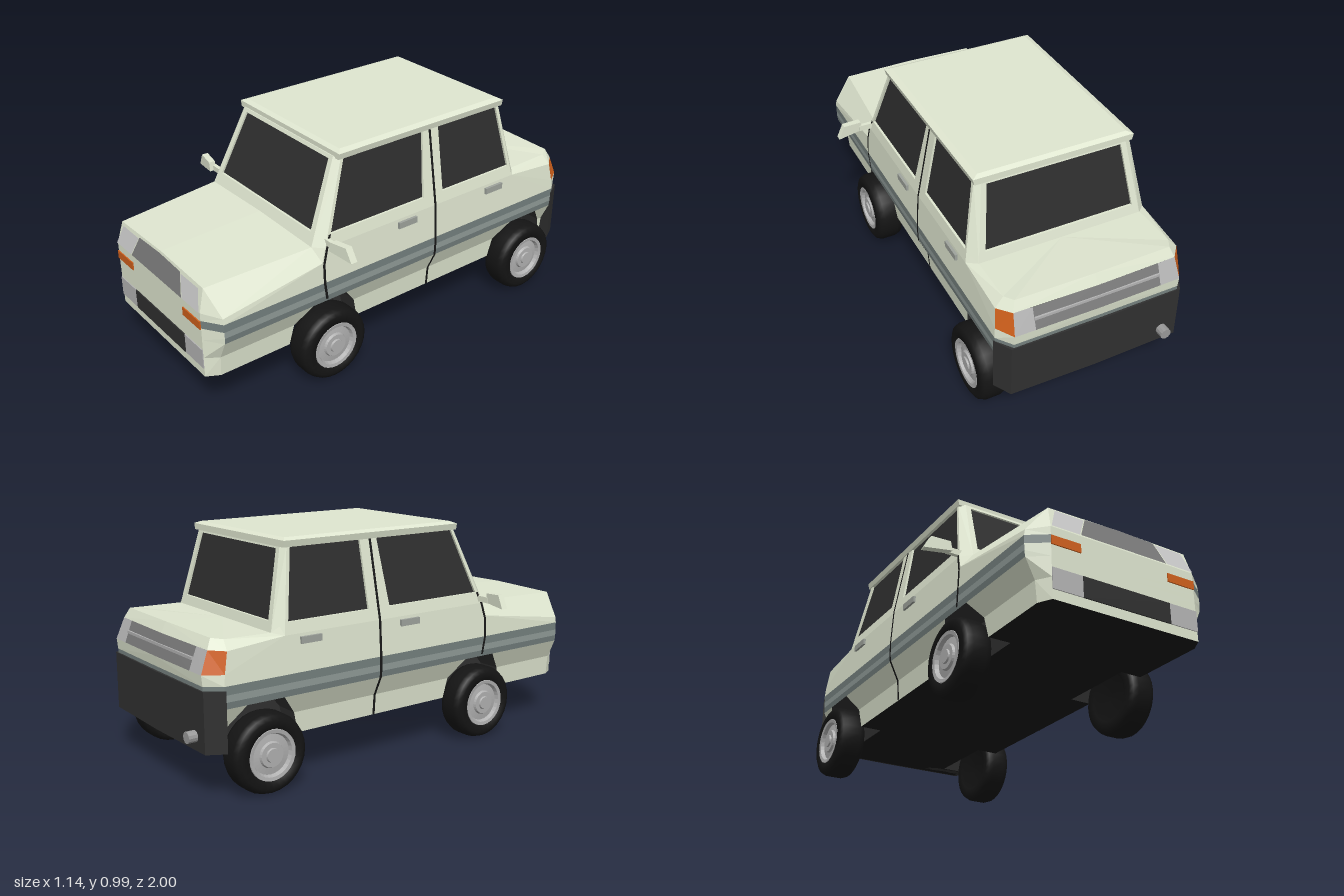
import * as THREE from 'three';

const PAINT = 0xdfe6d0, STRIPE = 0x74807e, STRIPE_MID = 0x8f9a97, DARK = 0x303030, BLACK = 0x181818,
  GLASS = 0x2e2e2e, GREY = 0xb4b4b4, MIDGREY = 0x7a7a7a, ORANGE = 0xd0601c;

export function createModel() {
  const car = new THREE.Group();
  car.name = 'car';

  const add = (name, geometry, color, flat = true) => {
    const material = new THREE.MeshStandardMaterial({ color, flatShading: flat, side: THREE.DoubleSide });
    const mesh = new THREE.Mesh(geometry, material);
    mesh.name = name;
    car.add(mesh);
    return mesh;
  };

  // Flat polygons given for the +x half, mirrored to the other half
  const patch = (name, color, polygons) => {
    const pos = [];
    for (const p of polygons) {
      for (let i = 1; i < p.length - 1; i++) {
        const tri = [p[0], p[i], p[i + 1]];
        tri.forEach(v => pos.push(...v));
        tri.reverse().forEach(([x, y, z]) => pos.push(-x, y, z));
      }
    }
    const g = new THREE.BufferGeometry();
    g.setAttribute('position', new THREE.Float32BufferAttribute(pos, 3));
    g.computeVertexNormals();
    return add(name, g, color);
  };
  const box = (name, color, w, h, d, x, y, z) =>
    add(name, new THREE.BoxGeometry(w, h, d), color).position.set(x, y, z);

  // Lower body: plan outlines stacked by height, with open columns for the wheel arches
  const axles = [0.435, -0.705];
  const levels = [ // height, half width, half length of the arch, colour of the band above
    [0.20, 0.37, 0.175, PAINT], [0.29, 0.377, 0.155, PAINT], [0.375, 0.417, 0.085, STRIPE],
    [0.402, 0.42, 0.085, STRIPE_MID], [0.43, 0.42, 0.085, STRIPE], [0.465, 0.42, 0.085, PAINT]];
  const outlines = levels.map(([y, w, a]) => [
    [0, y, 0.995], [0.34, y, 0.995], [w, y, 0.94],
    ...axles.flatMap(z => [[w, y, z + a], [w, y, z - a]]),
    [w, y, -0.89], [0.37, y, -0.955], [0, y, -0.957]]);
  const bands = new Map();
  for (let l = 0; l < 5; l++) {
    for (let s = 0; s < 9; s++) {
      if (l < 2 && (s === 3 || s === 5)) continue;
      const color = s === 0 || (s === 1 && l < 4) ? PAINT : levels[l][3];
      if (!bands.has(color)) bands.set(color, []);
      const [a, b] = [outlines[l], outlines[l + 1]];
      bands.get(color).push([a[s], a[s + 1], b[s + 1], b[s]]);
    }
  }
  const bandNames = { [PAINT]: 'lowerBody', [STRIPE]: 'sideStripes', [STRIPE_MID]: 'stripeCentre' };
  for (const [color, polys] of bands) patch(bandNames[color], color, polys);

  // Wheel wells and floor
  const inner = 0.27, inside = v => [inner, v[1], v[2]];
  const wells = [];
  for (const s of [3, 5]) {
    const arch = [0, 1, 2].map(l => outlines[l][s]).concat([2, 1, 0].map(l => outlines[l][s + 1]));
    for (let i = 0; i < 5; i++) wells.push([arch[i], arch[i + 1], inside(arch[i + 1]), inside(arch[i])]);
    wells.push(arch.map(inside));
  }
  patch('wheelWells', DARK, wells);
  const base = outlines[0];
  patch('floor', BLACK, [
    [base[0], base[1], base[2], [0, 0.2, 0.94]],
    [[0, 0.2, 0.94], [inner, 0.2, 0.94], [inner, 0.2, -0.89], [0, 0.2, -0.89]],
    ...[2, 4, 6].map(s => [base[s], base[s + 1], inside(base[s + 1]), inside(base[s])]),
    [base[7], base[8], base[9], [0, 0.2, -0.89]]]);

  // Front wings, bonnet and nose
  const top = outlines[5];
  const noseLow = [0.34, 0.5, 0.995], noseTop = [0.33, 0.597, 0.968], wingFront = [0.416, 0.49, 0.94],
    wingBack = [0.417, 0.56, 0.47], screenFoot = [0.37, 0.62, 0.49], doorTopFront = [0.41, 0.62, 0.45];
  patch('frontWings', PAINT, [
    [top[2], [0.42, 0.465, 0.47], wingBack, wingFront],
    [wingFront, wingBack, screenFoot, noseTop],
    [wingBack, doorTopFront, screenFoot],
    [top[1], top[2], wingFront, noseLow], [noseLow, wingFront, noseTop]]);
  patch('bonnet', PAINT, [[[0, 0.605, 0.965], noseTop, screenFoot, [0, 0.628, 0.49]]]);
  patch('nose', PAINT, [
    [top[0], top[1], noseLow, [0, 0.5, 0.995]],
    [[0, 0.5, 0.995], noseLow, noseTop, [0, 0.605, 0.965]]]);
  const onNose = (x, y) => [x, y, 1.0 - (y - 0.5) * 0.28];
  patch('headlights', 0xc4c4c4, [[onNose(0.21, 0.502), onNose(0.338, 0.502), onNose(0.305, 0.588), onNose(0.172, 0.588)]]);
  patch('grille', MIDGREY, [[onNose(0, 0.502), onNose(0.205, 0.502), onNose(0.166, 0.594), onNose(0, 0.6)]]);
  box('frontIntake', DARK, 0.41, 0.088, 0.01, 0, 0.285, 0.995);
  for (const s of [1, -1]) {
    box('frontBumperBlock', GREY, 0.135, 0.088, 0.008, s * 0.2725, 0.285, 0.995);
    box('frontIndicator', ORANGE, 0.132, 0.037, 0.01, s * 0.274, 0.443, 0.995);
  }

  // Doors, rear wings and boot
  const doorTopRear = [0.41, 0.62, -0.61], rearFoot = [0.37, 0.63, -0.65],
    lampLowSide = [0.417, 0.51, -0.885], lampLow = [0.37, 0.51, -0.96],
    lampTopSide = [0.408, 0.597, -0.868], lampTop = [0.36, 0.6, -0.925],
    deckSide = [0.37, 0.635, -0.86], deckBack = [0.345, 0.642, -0.903];
  patch('doors', PAINT, [[[0.42, 0.465, 0.47], [0.42, 0.465, -0.61], doorTopRear, doorTopFront, wingBack]]);
  patch('rearWings', PAINT, [
    [doorTopRear, [0.42, 0.465, -0.61], top[7], lampLowSide, lampTopSide],
    [doorTopRear, lampTopSide, deckSide, rearFoot], [doorTopRear, rearFoot, [0.4, 0.67, -0.6]],
    [lampTopSide, lampTop, deckBack, deckSide]]);
  patch('boot', PAINT, [
    [[0, 0.63, -0.65], rearFoot, deckSide, deckBack, [0, 0.645, -0.91]],
    [[0, 0.645, -0.91], deckBack, lampTop, [0, 0.6, -0.932]],
    [top[7], top[8], lampLow, lampLowSide],
    [top[8], top[9], [0, 0.51, -0.964], lampLow]]);
  patch('rearIndicators', ORANGE, [[lampLowSide, lampLow, lampTop, lampTopSide]]);
  const lowIn = [0.28, 0.51, -0.961], topIn = [0.28, 0.6, -0.927];
  patch('rearLamps', GREY, [[lampLow, lowIn, topIn, lampTop]]);
  patch('rearPanel', MIDGREY, [[lowIn, [0, 0.51, -0.964], [0, 0.6, -0.932], topIn]]);
  box('rearPanelTrim', GREY, 0.56, 0.012, 0.012, 0, 0.555, -0.944);

  // Rear bumper and exhaust
  const bump = [0.2, 0.448].map(y => [[0.425, y, -0.885], [0.382, y, -0.96], [0, y, -0.967], [0, y, -0.885]]);
  patch('rearBumper', DARK, [...bump,
    ...[0, 1, 3].map(i => [bump[0][i], bump[0][(i + 1) % 4], bump[1][(i + 1) % 4], bump[1][i]])]);
  const pipe = add('exhaustPipe', new THREE.CylinderGeometry(0.024, 0.024, 0.06, 12), 0x999999);
  pipe.rotation.x = Math.PI / 2;
  pipe.position.set(-0.31, 0.258, -0.97);

  // Cabin walls: a leaning frame with window openings, and glass set into them
  const shapeOf = pts => new THREE.Shape(pts.map(p => new THREE.Vector2(...p)));
  const thick = 0.016;
  const place = (geometry, map) => {
    const p = geometry.attributes.position;
    for (let i = 0; i < p.count; i++) p.setXYZ(i, ...map(p.getX(i), p.getY(i), p.getZ(i) - thick));
    geometry.computeVertexNormals();
    return geometry;
  };
  const wall = (name, outline, windows, map) => {
    const frame = shapeOf(outline);
    frame.holes = windows.map(shapeOf);
    add(name + 'Frame', place(new THREE.ExtrudeGeometry(frame, { depth: thick, bevelEnabled: false }), map), PAINT);
    add(name + 'Glass', place(new THREE.ShapeGeometry(windows.map(shapeOf)).translate(0, 0, 0.006), map), GLASS);
  };
  const lean = (a, b) => y => a + (b - a) * (y - 0.62) / 0.34;
  const sideX = lean(0.41, 0.345), frontZ = lean(0.49, 0.34), rearZ = lean(0.65, 0.57);
  const sideOutline = [[-0.45, 0.62], [0.61, 0.62], [0.555, 0.96], [-0.32, 0.96]];
  const sideWindows = [
    [[-0.415, 0.67], [0.08, 0.67], [0.11, 0.953], [-0.308, 0.953]],
    [[0.19, 0.67], [0.588, 0.67], [0.54, 0.953], [0.197, 0.953]]];
  for (const s of [1, -1])
    wall(s > 0 ? 'leftSide' : 'rightSide', sideOutline, sideWindows, (u, v, w) => [s * (sideX(v) + w), v, -u]);
  const screen = [[-0.37, 0.62], [0.37, 0.62], [0.32, 0.96], [-0.32, 0.96]];
  const screenHole = [[[-0.335, 0.67], [0.335, 0.67], [0.298, 0.945], [-0.298, 0.945]]];
  wall('windscreen', screen, screenHole, (u, v, w) => [u, v, frontZ(v) + w]);
  wall('rearWindow', screen, screenHole, (u, v, w) => [-u, v, -rearZ(v) - w]);
  patch('cornerPillars', PAINT, [
    [screenFoot, doorTopFront, [0.345, 0.96, 0.32], [0.32, 0.96, 0.34]],
    [[0.37, 0.62, -0.65], doorTopRear, [0.345, 0.96, -0.555], [0.32, 0.96, -0.57]]]);

  // Roof slab
  const roof = [[0.953, 0.35, 0.336, -0.574], [0.98, 0.356, 0.336, -0.574], [0.99, 0.33, 0.315, -0.555]]
    .map(([y, x, f, r]) => [[0, y, f], [x, y, f], [x, y, r], [0, y, r]]);
  patch('roof', PAINT, [roof[0], roof[2], ...[0, 1].flatMap(l => [0, 1, 2].map(i =>
    [roof[l][i], roof[l][i + 1], roof[l + 1][i + 1], roof[l + 1][i]]))]);

  // Door gaps: narrow dark ribbons following the side
  const ribbon = (name, pts) => patch(name, BLACK, pts.slice(1).map(([x, y, z], i) => {
    const [px, py, pz] = pts[i], h = 0.006, o = 0.003;
    return [[px + o, py, pz + h], [px + o, py, pz - h], [x + o, y, z - h], [x + o, y, z + h]];
  }));
  ribbon('middleDoorGap', [...levels.map(([y, w]) => [w, y, -0.14]), [0.41, 0.62, -0.14], [0.345, 0.96, -0.147]]);
  ribbon('frontDoorGap', [[0.417, 0.385, 0.45], [0.42, 0.465, 0.463], [0.416, 0.55, 0.463], [0.41, 0.62, 0.443], [0.4, 0.67, 0.422]]);

  for (const s of [1, -1]) {
    // Door handles
    for (const z of [0.02, -0.49]) box('doorHandle', 0x9ea39c, 0.018, 0.028, 0.1, s * 0.414, 0.593, z);
    // Door mirrors
    box('mirrorArm', PAINT, 0.07, 0.026, 0.018, s * 0.43, 0.642, 0.435);
    const head = new THREE.ExtrudeGeometry(shapeOf([[0.45, 0.63], [0.57, 0.62], [0.54, 0.678], [0.457, 0.672]]
      .map(([x, y]) => [s * x, y])), { depth: 0.03, bevelEnabled: false });
    place(head, (x, y, z) => [x, y, 0.448 + z - (Math.abs(x) - 0.45) * 0.15]);
    add('mirrorHead', head, PAINT);
  }

  // Wheels
  const lathe = pts => new THREE.LatheGeometry(pts.map(p => new THREE.Vector2(...p)), 28);
  const tyre = lathe([[0, -0.045], [0.1, -0.05], [0.105, -0.062], [0.14, -0.062], [0.157, -0.052], [0.165, -0.03],
    [0.165, 0.03], [0.157, 0.052], [0.14, 0.062], [0.108, 0.062], [0.1, 0.04]]);
  const rim = lathe([[0.108, 0.045], [0.105, 0.062], [0.09, 0.06], [0.083, 0.044], [0.055, 0.048], [0.05, 0.058],
    [0.03, 0.058], [0.027, 0.065], [0, 0.065]]);
  for (const z of axles) {
    for (const s of [1, -1]) {
      for (const [name, g, color] of [['tyre', tyre, 0x141414], ['wheelRim', rim, 0xb0b0b0]]) {
        const m = add(name, g, color, name === 'wheelRim');
        m.rotation.z = -s * Math.PI / 2;
        m.position.set(s * 0.398, 0.166, z);
      }
    }
  }
  return car;
}
